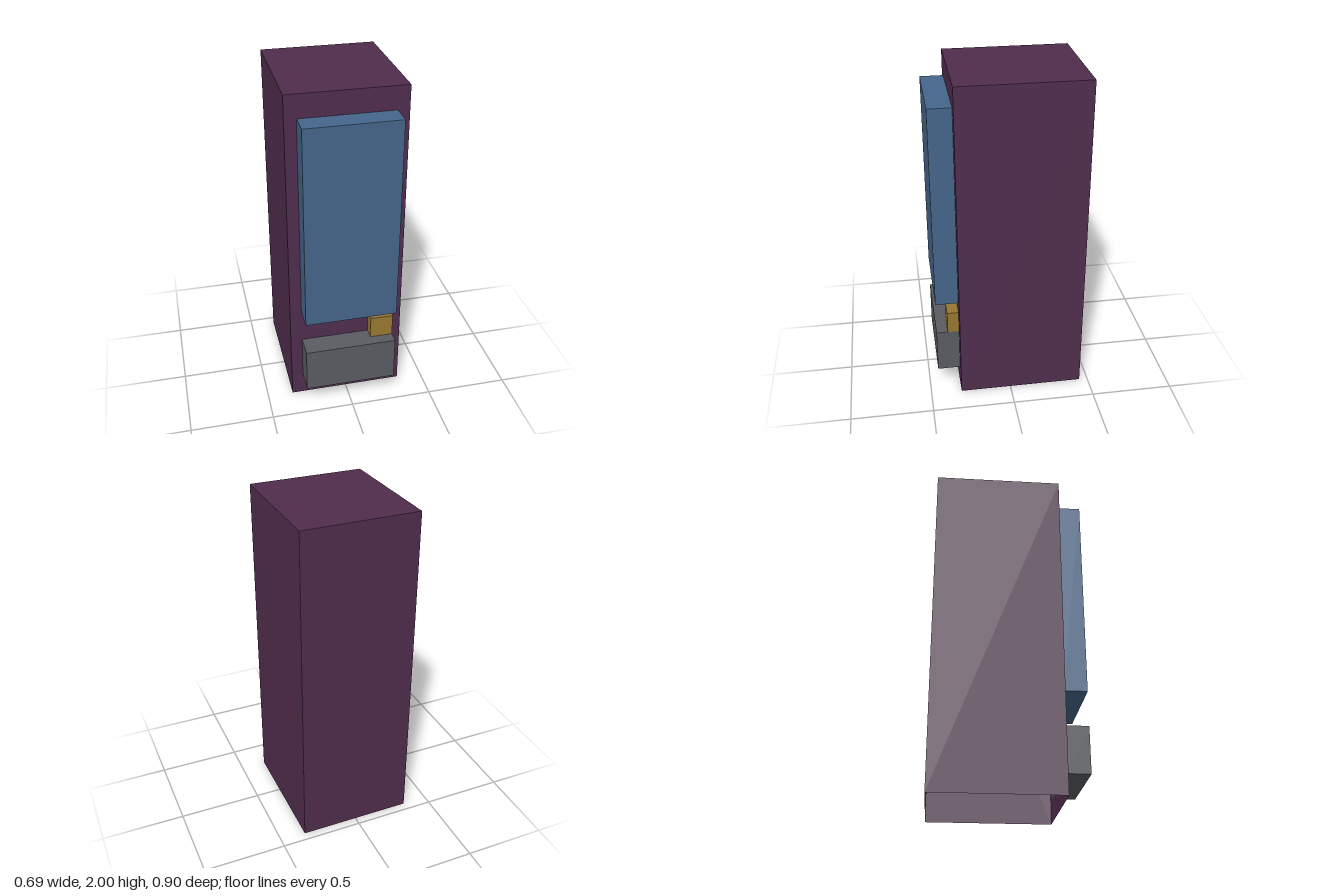
import * as THREE from 'three';

const U = 2 / 29; // one grid unit of the design

function material(name, color) {
  const m = new THREE.MeshStandardMaterial({ color });
  m.name = name;
  return m;
}

// Box given by its min and max corners in grid units
function box(name, mat, [x0, y0, z0], [x1, y1, z1]) {
  const geometry = new THREE.BoxGeometry((x1 - x0) * U, (y1 - y0) * U, (z1 - z0) * U);
  const mesh = new THREE.Mesh(geometry, mat);
  mesh.name = name;
  mesh.position.set((x0 + x1) / 2 * U, (y0 + y1) / 2 * U, (z0 + z1) / 2 * U);
  return mesh;
}

export function createModel() {
  const purple = material('purple', 0x502d4d);
  purple.side = THREE.DoubleSide; // the cabinet is an open shell
  const blue = material('blue', 0x45658b);
  const grey = material('grey', 0x5a5c62);
  const gold = material('gold', 0x987831);

  const group = new THREE.Group();
  group.name = 'cabinetMachine';

  // Cabinet shell: the bottom face (indices 18 to 23) is left out
  const cabinet = box('cabinet', purple, [-5, 0, -6.5], [5, 29, 4.5]);
  const index = Array.from(cabinet.geometry.index.array);
  index.splice(18, 6);
  cabinet.geometry.setIndex(index);
  cabinet.geometry.clearGroups();

  group.add(
    cabinet,
    box('displayPanel', blue, [-4, 9, 4.5], [4, 27, 6.5]),
    box('dispenserTray', grey, [-4, 2, 4.5], [4, 6, 6.5]),
    box('coinBox', gold, [2, 6, 4.5], [4, 8, 5.5]),
  );
  return group;
}
